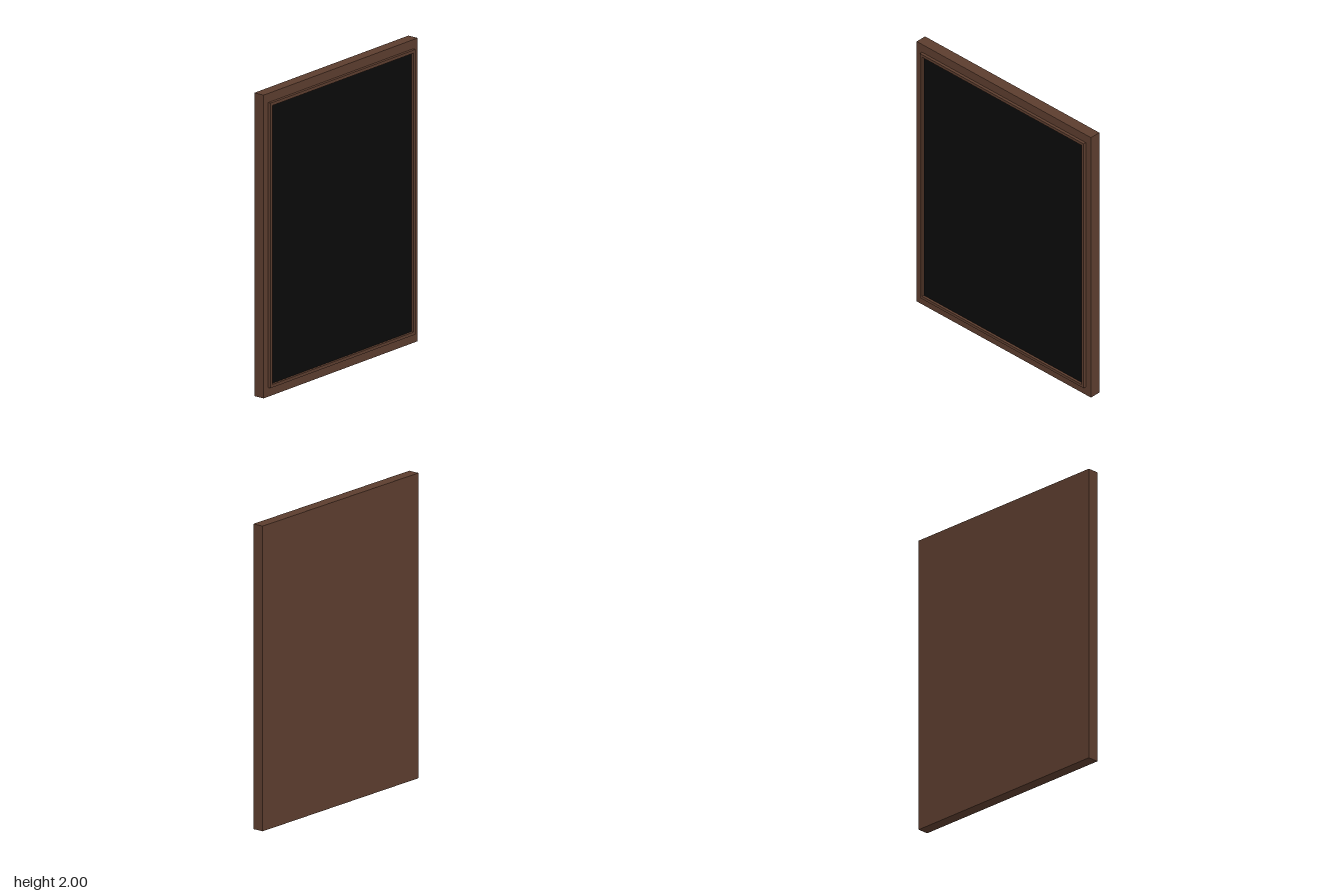
import * as THREE from 'three';

const wood = new THREE.MeshStandardMaterial({ color: 0x5c3d2e });
wood.name = 'brown wood';
const black = new THREE.MeshStandardMaterial({ color: 0x0a0a0a });
black.name = 'black panel';

const HEIGHT = 2, WIDTH = 1.51;
const BACK = -0.0475, STEP = 0.028, FRONT = 0.0475;
const RIM_W = 1.42, RIM_H = 1.88, RIM = 0.02;

function part(name, geometry, material, z) {
  const mesh = new THREE.Mesh(geometry, material);
  mesh.name = name;
  mesh.position.set(0, HEIGHT / 2, z);
  return mesh;
}

// corners of a centred rectangle, counter-clockwise
function corners(w, h) {
  return [[-1, -1], [1, -1], [1, 1], [-1, 1]].map(([x, y]) => new THREE.Vector2(x * w / 2, y * h / 2));
}

export function createModel() {
  const group = new THREE.Group();
  group.name = 'framedBoard';

  // solid backing board
  const depth = STEP - BACK;
  group.add(part('backingBoard', new THREE.BoxGeometry(WIDTH, HEIGHT, depth), wood, BACK + depth / 2));

  // raised rim around the panel
  const rim = new THREE.Shape(corners(RIM_W, RIM_H));
  rim.holes.push(new THREE.Path(corners(RIM_W - 2 * RIM, RIM_H - 2 * RIM).reverse()));
  const rimGeometry = new THREE.ExtrudeGeometry(rim, { depth: FRONT - STEP, bevelEnabled: false });
  group.add(part('raisedRim', rimGeometry, wood, STEP));

  // thin black panel set inside the rim
  const panel = new THREE.BoxGeometry(RIM_W - 2 * RIM, RIM_H - 2 * RIM, 0.004);
  group.add(part('panel', panel, black, STEP + 0.001));

  return group;
}
